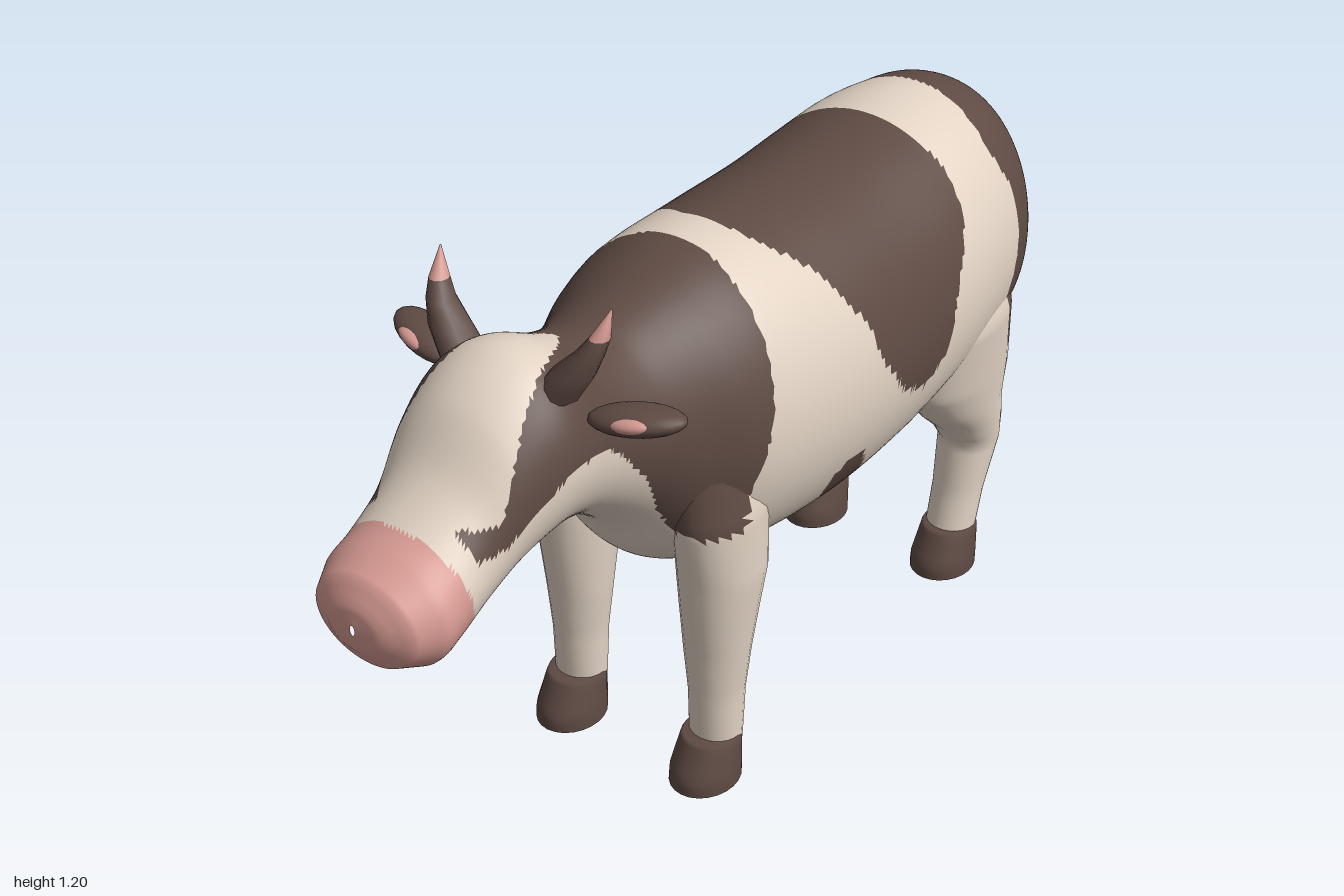
import * as THREE from 'three';

const cream = new THREE.MeshStandardMaterial({ color: 0xe2d3c4 });
cream.name = 'cream hide';
const brown = new THREE.MeshStandardMaterial({ color: 0x5e4a43 });
brown.name = 'brown hide';
const pink = new THREE.MeshStandardMaterial({ color: 0xd69a92 });
pink.name = 'pink skin';
const MATERIALS = [cream, brown, pink];
const CREAM = 0, BROWN = 1, PINK = 2;

// Piecewise linear lookup in [key, value] rows
function lookup(rows, k) {
  if (k <= rows[0][0]) return rows[0][1];
  for (let i = 1; i < rows.length; i++) {
    const [a, va] = rows[i - 1], [b, vb] = rows[i];
    if (k <= b) return va + (vb - va) * (k - a) / (b - a);
  }
  return rows[rows.length - 1][1];
}

function inside(poly, x, y) {
  let hit = false;
  for (let i = 0, j = poly.length - 1; i < poly.length; j = i++) {
    const [xi, yi] = poly[i], [xj, yj] = poly[j];
    if ((yi > y) !== (yj > y) && x < (xj - xi) * (y - yi) / (yj - yi) + xi) hit = !hit;
  }
  return hit;
}

// Hide patches, as side outlines [x, y]
const shoulderPatch = [[-.1, 1.2], [-.1, 1.08], [-.11, 1.05], [-.135, .91], [-.16, .81], [-.205, .67], [-.23, .61],
  [-.31, .61], [-.355, .685], [-.4, .78], [-.46, .86], [-.525, .915], [-.62, .925], [-.71, .877], [-.765, .834],
  [-.82, .83], [-.83, .86], [-.82, 1.2]];
const saddlePatch = [[-.01, 1.2], [-.01, 1.08], [.065, 1.005], [.13, .89], [.17, .78], [.235, .695], [.315, .663],
  [.385, .7], [.42, .807], [.465, .877], [.51, .94], [.53, 1.02], [.515, 1.2]];
const bellySpot = [[.05, .58], [.08, .605], [.13, .6], [.17, .55], [.185, .49], [.14, .48], [.08, .49], [.05, .53]];
const blazeWidth = [[-.8, .14], [-.72, .125], [-.58, .08], [-.5, .045], [-.445, 0]];
const rumpFront = [[.5, .77], [.556, .715], [.7, .68], [.807, .705], [.914, .71], [.995, .68], [1.09, .705]];
const rumpBottom = [[-.25, .66], [-.22, .62], [-.06, .645], [.076, .655], [.108, .61], [.137, .53], [.18, .5],
  [.235, .52], [.3, .57]];

function hide(x, y, z) {
  if (x < -.83 - (y - .66) * .2) return PINK;
  if (x < -.445 && y > .88 && Math.abs(z) < lookup(blazeWidth, x)) return CREAM;
  if (inside(shoulderPatch, x, y) || inside(saddlePatch, x, y) || inside(bellySpot, x, y)) return BROWN;
  if (x > lookup(rumpFront, y) && y > lookup(rumpBottom, z)) return BROWN;
  return CREAM;
}

// Skin rings of points and sort the faces into colours
function skin(name, rings, paint) {
  const n = rings[0].length, lists = [[], [], []], pos = rings.flat(2);
  const add = (a, b, c) => {
    const mid = [0, 1, 2].map(k => (pos[a * 3 + k] + pos[b * 3 + k] + pos[c * 3 + k]) / 3);
    lists[paint(...mid)].push(a, b, c);
  };
  for (let i = 0; i < rings.length - 1; i++) {
    for (let j = 0; j < n; j++) {
      const a = i * n + j, b = i * n + (j + 1) % n;
      add(a, b, a + n);
      add(b, b + n, a + n);
    }
  }
  const g = new THREE.BufferGeometry();
  g.setAttribute('position', new THREE.Float32BufferAttribute(pos, 3));
  g.setIndex(lists.flat());
  let start = 0;
  lists.forEach((l, m) => { if (l.length) g.addGroup(start, l.length, m); start += l.length; });
  g.computeVertexNormals();
  const mesh = new THREE.Mesh(g, MATERIALS);
  mesh.name = name;
  return mesh;
}

const ring = (n, f) => Array.from({ length: n }, (_, j) => f(Math.sin(j / n * 2 * Math.PI), Math.cos(j / n * 2 * Math.PI)));

// Upright limb from sections [y, centre x, centre z, radius x, radius z], bottom first
function limb(name, sections, paint, side = 1, sides = 24, step = .02) {
  const rows = [];
  sections.forEach((s, i) => {
    const next = sections[i + 1];
    if (!next) { rows.push(s); return; }
    const m = Math.max(1, Math.ceil((next[0] - s[0]) / step));
    for (let k = 0; k < m; k++) rows.push(s.map((v, c) => v + (next[c] - v) * k / m));
  });
  return skin(name, rows.map(([y, cx, cz, rx, rz]) =>
    ring(sides, (s, c) => [cx + rx * s, y, side * cz + rz * c])), paint);
}

// Head, neck and trunk: [x, top, bottom, half width]
const bodySections = [[-1, .755, .735, .005], [-.995, .79, .7, .06], [-.97, .83, .66, .11], [-.92, .855, .637, .138],
  [-.87, .88, .645, .138], [-.79, .94, .675, .138], [-.71, 1.037, .71, .155], [-.62, 1.09, .733, .172],
  [-.55, 1.09, .724, .168], [-.46, 1.05, .685, .15], [-.365, 1.027, .61, .17], [-.29, 1.04, .5, .205],
  [-.2, 1.065, .445, .25], [-.1, 1.085, .417, .275], [.12, 1.08, .392, .293], [.33, 1.075, .402, .297],
  [.5, 1.085, .43, .293], [.61, 1.095, .45, .282], [.7, 1.09, .46, .266], [.785, 1.075, .475, .24],
  [.87, 1.02, .53, .18], [.91, .96, .61, .115], [.92, .92, .68, .07], [.922, .81, .79, .002]];

function body() {
  const S = bodySections, rows = [];
  for (let i = 0; i < S.length - 1; i++) {
    const p = S[Math.max(0, i - 1)], a = S[i], b = S[i + 1], q = S[Math.min(S.length - 1, i + 2)];
    const dx = b[0] - a[0], m = Math.max(3, Math.ceil(dx / .009));
    for (let k = 0; k < m; k++) {
      const t = k / m, x = a[0] + dx * t;
      // cubic blend with slopes taken over x; straight at the blunt ends
      const blunt = i < 3 || i > S.length - 5;
      rows.push([x, ...[1, 2, 3].map(c => {
        const lin = a[c] + (b[c] - a[c]) * t;
        if (blunt) return lin;
        const ma = (b[c] - p[c]) / (b[0] - p[0]) * dx, mb = (q[c] - a[c]) / (q[0] - a[0]) * dx;
        const t2 = t * t, t3 = t2 * t;
        return (2 * t3 - 3 * t2 + 1) * a[c] + (t3 - 2 * t2 + t) * ma + (3 * t2 - 2 * t3) * b[c] + (t3 - t2) * mb;
      })]);
    }
  }
  rows.push(S[S.length - 1]);
  return skin('body', rows.map(([x, top, bot, w]) =>
    ring(96, (s, c) => [x, (top + bot) / 2 + (top - bot) / 2 * c, w * s])), hide);
}

function ellipsoid(name, material, [x, y, z], [rx, ry, rz]) {
  const mesh = new THREE.Mesh(new THREE.SphereGeometry(1, 20, 14), material);
  mesh.name = name;
  mesh.position.set(x, y, z);
  mesh.scale.set(rx, ry, rz);
  return mesh;
}

const frontLeg = [[.08, -.21, .168, .05, .054], [.2, -.207, .168, .058, .056], [.3, -.205, .168, .068, .066],
  [.4, -.2, .17, .085, .074], [.48, -.195, .172, .1, .08], [.62, -.205, .175, .115, .075], [.8, -.21, .15, .09, .06]];
const hindLeg = [[.08, .663, .168, .053, .054], [.18, .688, .168, .052, .056], [.3, .72, .168, .065, .067],
  [.36, .698, .17, .09, .072], [.42, .664, .172, .122, .077], [.5, .635, .178, .16, .081], [.65, .6, .19, .17, .085],
  [.85, .6, .17, .1, .06]];
const hoof = x => [[0, x - .02, .168, 0, 0], [0, x - .02, .168, .08, .068], [0, x - .02, .168, .08, .068],
  [.03, x - .018, .168, .08, .067], [.092, x, .168, .063, .06], [.1, x, .168, .058, .056], [.1, x, .168, 0, 0]];
const horn = [[1.03, -.575, .1, .045, .045], [1.08, -.57, .135, .038, .04], [1.12, -.56, .162, .028, .026],
  [1.15, -.547, .175, .02, .018], [1.2, -.527, .186, .001, .001]];
const tail = [[.335, .97, -.02, .004, .004], [.36, .968, -.018, .024, .024], [.43, .964, -.013, .032, .037],
  [.49, .958, -.01, .018, .02], [.51, .957, -.009, .012, .018], [.7, .948, -.005, .012, .019],
  [.92, .928, 0, .016, .023], [.965, .915, 0, .022, .022], [.978, .905, 0, .002, .002]];

export function createModel() {
  const cow = new THREE.Group();
  cow.name = 'cow';
  cow.add(body());

  for (const side of [1, -1]) {
    const label = side > 0 ? 'Near' : 'Far';
    // Legs and hooves
    cow.add(limb('frontLeg' + label, frontLeg, hide, side));
    cow.add(limb('hindLeg' + label, hindLeg, hide, side, 32));
    cow.add(limb('frontHoof' + label, hoof(-.225), () => BROWN, side));
    cow.add(limb('hindHoof' + label, hoof(.66), () => BROWN, side));

    // Horns with pale tips
    cow.add(limb('horn' + label, horn, (x, y) => y > 1.148 ? PINK : BROWN, side, 10, .05));

    // Ears with pink insides facing forward
    const ear = new THREE.Group();
    ear.name = 'ear' + label;
    ear.position.set(-.525, 1.0, side * .233);
    ear.rotation.set(-side * .14, side * .3, 0);
    ear.add(ellipsoid('earShell', brown, [0, 0, 0], [.045, .026, .09]));
    ear.add(ellipsoid('earInside', pink, [-.03, .004, 0], [.018, .014, .04]));
    cow.add(ear);
  }

  // Udder
  cow.add(ellipsoid('udder', pink, [.47, .432, 0], [.1, .06, .1]));

  // Tail with a dark tuft
  cow.add(limb('tail', tail, (x, y) => y < .44 ? BROWN : y < .495 ? PINK : CREAM, 1, 12));
  return cow;
}
